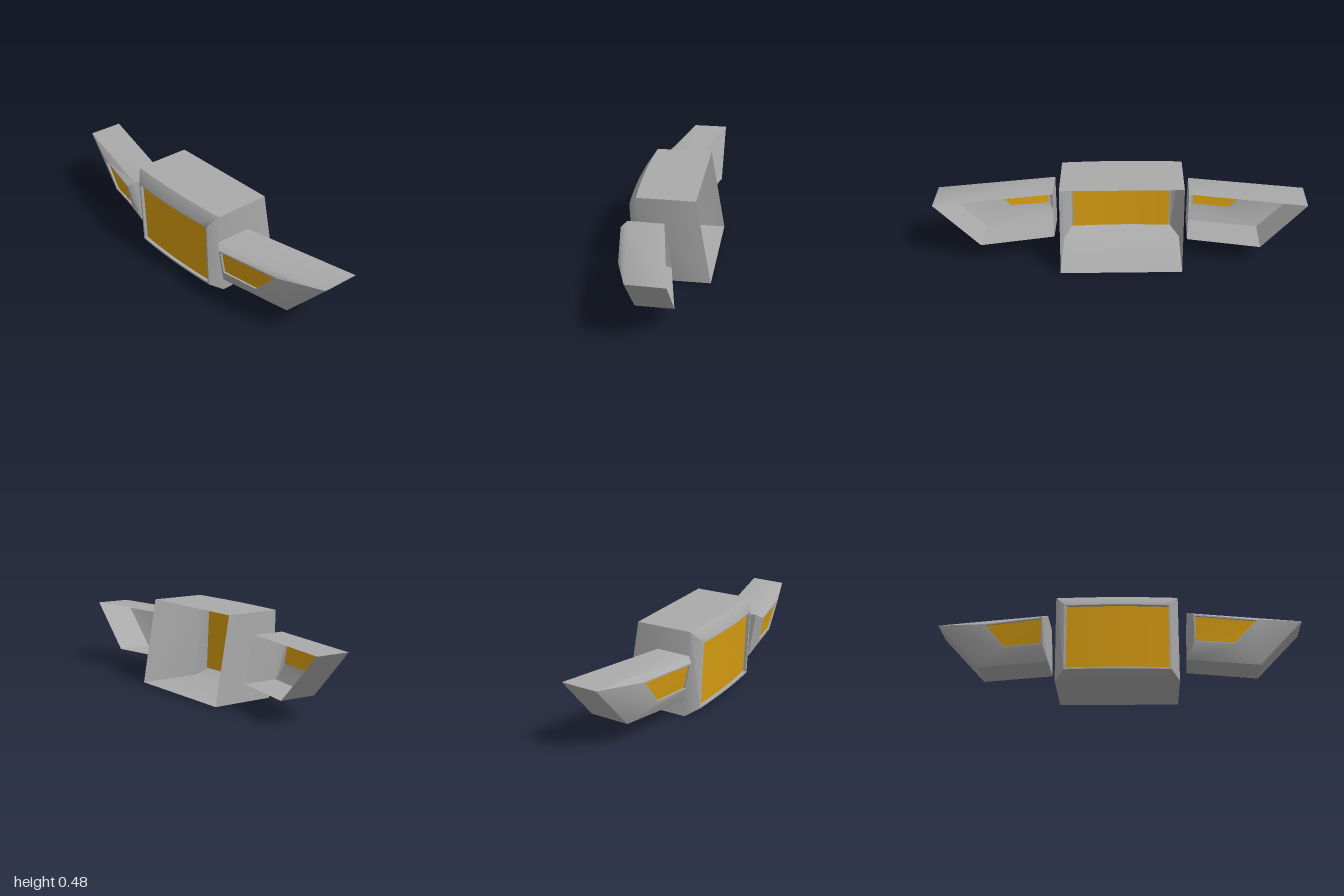
import * as THREE from 'three';
import { toCreasedNormals } from 'three/addons/utils/BufferGeometryUtils.js';

const grey = new THREE.MeshStandardMaterial({ name: 'housing grey', color: 0xaaaaaa, side: THREE.DoubleSide });
const amber = new THREE.MeshStandardMaterial({ name: 'amber lens', color: 0xd69c12, side: THREE.DoubleSide });

// Joins strips of points with quads; closed strips wrap around into a shell.
function loft(strips, closed, material, name) {
  const pos = [];
  for (let s = 0; s + 1 < strips.length; s++) {
    const a = strips[s], b = strips[s + 1], n = a.length;
    for (let i = 0; i < (closed ? n : n - 1); i++) {
      const j = (i + 1) % n;
      for (const p of [a[i], a[j], b[j], a[i], b[j], b[i]]) pos.push(...p);
    }
  }
  const geo = new THREE.BufferGeometry();
  geo.setAttribute('position', new THREE.Float32BufferAttribute(pos, 3));
  const mesh = new THREE.Mesh(toCreasedNormals(geo, 0.75), material);
  mesh.name = name;
  return mesh;
}

// One edge of the centre housing: skewed and bowed forward across x.
function bowedEdge(x0, x1, y, z, skew, bow) {
  const pts = [];
  for (let i = 0; i <= 10; i++) {
    const u = i / 5 - 1;
    pts.push([x0 + (x1 - x0) * i / 10, y, z - skew * u + bow * (1 - u * u)]);
  }
  return pts;
}

function createCentre() {
  const group = new THREE.Group();
  group.name = 'centreLamp';
  // x0, x1, bottom y, bottom z, top y, top z, skew, bow
  const sections = [
    [-0.343, 0.318, 0.008, -0.222, 0.478, -0.139, 0.014, 0],      // open back
    [-0.335, 0.325, 0.001, 0.135, 0.475, 0.173, 0.014, 0.012],    // shoulder
    [-0.283, 0.283, 0.04, 0.2, 0.415, 0.217, 0.012, 0.011],       // lip outside
    [-0.273, 0.273, 0.05, 0.2, 0.406, 0.217, 0.012, 0.011],       // lip inside
    [-0.273, 0.273, 0.05, 0.182, 0.406, 0.199, 0.012, 0.011],     // recess
  ];
  const edges = sections.map(([x0, x1, yb, zb, yt, zt, skew, bow]) =>
    [bowedEdge(x0, x1, yb, zb, skew, bow), bowedEdge(x0, x1, yt, zt, skew, bow)]);
  const rings = edges.map(([bottom, top]) => [...bottom, ...[...top].reverse()]);
  group.add(loft(rings, true, grey, 'centreHousing'));
  group.add(loft(edges[edges.length - 1], false, amber, 'centreLens'));
  return group;
}

// Swept side lamp; corners run inner bottom, outer bottom, outer top, inner top.
function createWing(name, side, rings) {
  const group = new THREE.Group();
  group.name = name;
  const placed = rings.map(ring => {
    const pts = ring.map(([x, y, z]) => [side * x, y, z]);
    return side < 0 ? pts.reverse() : pts;
  });
  group.add(loft(placed, true, grey, name + 'Housing'));
  const [a, b, c, d] = placed[placed.length - 1];
  group.add(loft([[a, b], [d, c]], false, amber, name + 'Lens'));
  return group;
}

export function createModel() {
  const model = new THREE.Group();
  model.name = 'lampCluster';
  model.add(createCentre());
  model.add(createWing('leftLamp', 1, [
    [[0.365, 0.112, -0.035], [0.76, 0.112, -0.13], [1, 0.37, -0.143], [0.37, 0.364, 0]],
    [[0.365, 0.107, 0.155], [0.76, 0.107, 0.068], [1, 0.368, 0.055], [0.37, 0.362, 0.195]],
    [[0.405, 0.19, 0.197], [0.63, 0.19, 0.155], [0.762, 0.34, 0.143], [0.405, 0.34, 0.222]],
    [[0.415, 0.2, 0.197], [0.62, 0.2, 0.157], [0.745, 0.332, 0.148], [0.415, 0.332, 0.22]],
    [[0.415, 0.2, 0.186], [0.62, 0.2, 0.147], [0.745, 0.332, 0.138], [0.415, 0.332, 0.209]],
  ]));
  model.add(createWing('rightLamp', -1, [
    [[0.37, 0.112, -0.043], [0.765, 0.122, -0.125], [1, 0.38, -0.11], [0.375, 0.366, 0.015]],
    [[0.37, 0.107, 0.165], [0.765, 0.117, 0.088], [1, 0.376, 0.085], [0.375, 0.363, 0.2]],
    [[0.4, 0.19, 0.202], [0.622, 0.19, 0.168], [0.738, 0.34, 0.162], [0.4, 0.34, 0.231]],
    [[0.41, 0.2, 0.202], [0.612, 0.2, 0.17], [0.72, 0.332, 0.166], [0.408, 0.332, 0.229]],
    [[0.41, 0.2, 0.191], [0.612, 0.2, 0.16], [0.72, 0.332, 0.156], [0.408, 0.332, 0.218]],
  ]));
  return model;
}
